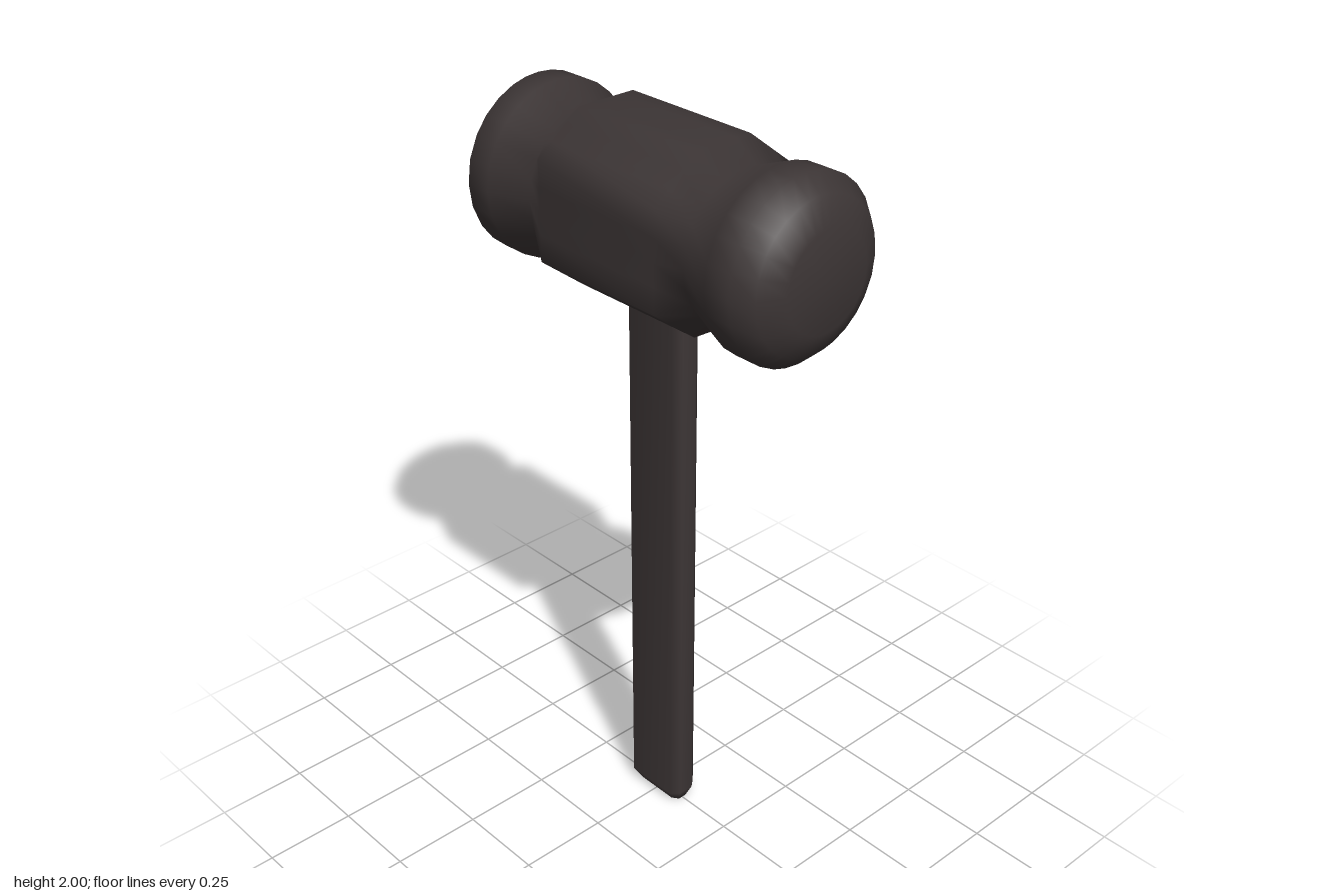
import * as THREE from 'three';

// Skin a list of closed rings with smooth normals and cap both ends.
// Rings run along their axis and wind counter-clockwise about it.
function loft(rings) {
  const n = rings[0].length;
  const positions = rings.flat(2);
  const index = [];
  for (let i = 0; i < rings.length - 1; i++) {
    for (let j = 0; j < n; j++) {
      const k = (j + 1) % n;
      const a = i * n + j, b = i * n + k, c = b + n, d = a + n;
      index.push(a, b, c, a, c, d);
    }
  }
  const addCap = (ringIndex, end) => {
    const ring = rings[ringIndex];
    const centre = positions.length / 3;
    for (let axis = 0; axis < 3; axis++) {
      positions.push(ring.reduce((sum, p) => sum + p[axis], 0) / n);
    }
    for (let j = 0; j < n; j++) {
      const a = ringIndex * n + j, b = ringIndex * n + (j + 1) % n;
      index.push(centre, end ? a : b, end ? b : a);
    }
  };
  addCap(0, false);
  addCap(rings.length - 1, true);
  const geometry = new THREE.BufferGeometry();
  geometry.setAttribute('position', new THREE.Float32BufferAttribute(positions, 3));
  geometry.setIndex(index);
  geometry.computeVertexNormals();
  return geometry;
}

// Head: round striking ends and necks blending into an eight-sided block
function headGeometry() {
  const centreY = 1.77;
  const side = [0.215, 0.13], top = [0.085, 0.23]; // block corners as [z, y]
  const a1 = Math.atan2(side[1], side[0]), a2 = Math.atan2(top[1], top[0]);
  const quarter = [0, a1 / 2, a1, a1 + (a2 - a1) / 3, a1 + (a2 - a1) * 2 / 3, a2, (a2 + Math.PI / 2) / 2];
  // Angles measured from +z towards +y, mirrored into every quadrant
  const half = [...quarter, Math.PI / 2, ...quarter.slice(1).reverse().map(a => Math.PI - a)];
  const angles = [...half, ...half.map(a => a + Math.PI)].reverse();

  const circle = radius => () => radius;
  const block = angle => {
    const c = Math.abs(Math.cos(angle)), s = Math.abs(Math.sin(angle));
    const nz = top[1] - side[1], ny = side[0] - top[0];
    const chamfer = (nz * side[0] + ny * side[1]) / (nz * c + ny * s);
    return Math.min(side[0] / Math.max(c, 1e-6), top[1] / Math.max(s, 1e-6), chamfer);
  };
  const profile = [
    [0.2, block], [0.27, circle(0.19)], [0.38, circle(0.232)],
    [0.455, circle(0.232)], [0.5, circle(0.192)], [0.533, circle(0.127)],
  ];
  const stations = [...profile.map(([x, r]) => [-x, r]).reverse(), ...profile];
  return loft(stations.map(([x, r]) => angles.map(a =>
    [x, centreY + r(a) * Math.sin(a), r(a) * Math.cos(a)])));
}

// Handle: flat bar with bevelled edges and a tapered foot
function handleGeometry() {
  const section = (y, w, d) => {
    const iw = w - 0.018, id = d * 0.5;
    return [[iw, d], [w, id], [w, -id], [iw, -d], [-iw, -d], [-w, -id], [-w, id], [-iw, d]]
      .map(([x, z]) => [x, y, z]);
  };
  return loft([
    section(0, 0.08, 0.025), section(0.035, 0.095, 0.044), section(1.7, 0.095, 0.044),
  ]);
}

export function createModel() {
  const darkIron = new THREE.MeshStandardMaterial({ color: 0x3c3535 });
  darkIron.name = 'darkIron';

  const model = new THREE.Group();
  model.name = 'hammer';
  const parts = { head: headGeometry(), handle: handleGeometry() };
  for (const [name, geometry] of Object.entries(parts)) {
    const mesh = new THREE.Mesh(geometry, darkIron);
    mesh.name = name;
    model.add(mesh);
  }
  return model;
}
